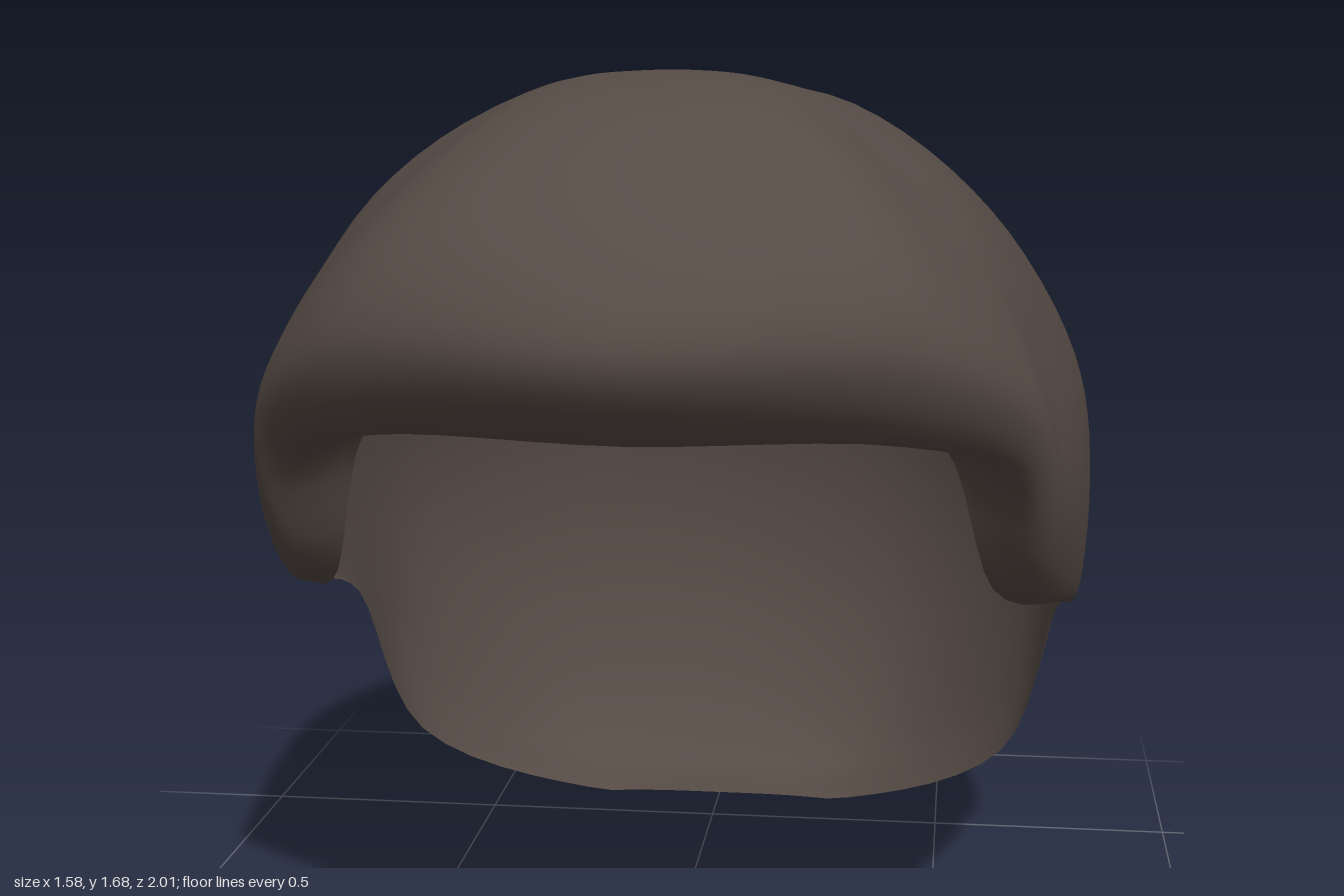
import * as THREE from 'three';

// Meridians from the centre front, round the left side, to the centre back.
// Each runs from below the crown to the lower edge as x, y, z triples.
const MERIDIANS = [
  [0, 1.675, 0.36, 0, 1.59, 0.69, 0, 1.4, 0.925, 0, 1.25, 1.0, 0, 1.11, 0.88],
  [0.16, 1.665, 0.34, 0.29, 1.57, 0.61, 0.41, 1.39, 0.81, 0.46, 1.24, 0.85, 0.44, 1.1, 0.77],
  [0.25, 1.64, 0.27, 0.46, 1.48, 0.47, 0.61, 1.27, 0.6, 0.665, 1.12, 0.63, 0.63, 1.02, 0.6],
  [0.3, 1.62, 0.16, 0.54, 1.45, 0.3, 0.68, 1.17, 0.43, 0.72, 0.95, 0.48, 0.68, 0.79, 0.44],
  [0.32, 1.61, 0.03, 0.575, 1.42, 0.06, 0.74, 1.13, 0.09, 0.78, 0.9, 0.08, 0.765, 0.68, 0.06],
  [0.31, 1.6, -0.1, 0.575, 1.39, -0.21, 0.75, 1.1, -0.27, 0.785, 0.85, -0.28, 0.745, 0.58, -0.25],
  [0.25, 1.6, -0.2, 0.48, 1.38, -0.45, 0.65, 1.0, -0.62, 0.69, 0.65, -0.65, 0.67, 0.3, -0.5],
  [0.14, 1.6, -0.28, 0.27, 1.37, -0.63, 0.39, 0.92, -0.89, 0.42, 0.45, -0.9, 0.36, 0.08, -0.76],
  [0, 1.605, -0.32, 0, 1.36, -0.7, 0, 0.88, -0.985, 0, 0.4, -0.985, 0, 0.04, -0.79],
];
// Inner end of the edge below each meridian, curled under at the fringe
const LIPS = [
  [0, 1.11, 0.68], [0.41, 1.1, 0.63], [0.51, 1.05, 0.53], [0.6, 0.77, 0.4], [0.75, 0.66, 0.05],
  [0.735, 0.56, -0.25], [0.64, 0.21, -0.4], [0.3, 0.01, -0.62], [0, 0, -0.65],
];
const CROWN = new THREE.Vector3(0.04, 1.66, 0);

function createHairGeometry(columns = 96, rows = 36) {
  const half = MERIDIANS.map((m, i) => {
    const pts = [CROWN.clone()];
    for (let k = 0; k < m.length; k += 3) pts.push(new THREE.Vector3(m[k], m[k + 1], m[k + 2]));
    pts.push(new THREE.Vector3(...LIPS[i]));
    return pts;
  });
  // Mirror the inner meridians to complete the ring
  const mirrored = half.slice(1, -1).reverse()
    .map((pts) => pts.map((p, k) => (k === 0 ? p.clone() : new THREE.Vector3(-p.x, p.y, p.z))));
  const curves = [...half, ...mirrored]
    .map((pts) => new THREE.CatmullRomCurve3(pts, false, 'centripetal'));

  // Loft smooth closed rings through the meridians
  const positions = [CROWN.x, CROWN.y, CROWN.z];
  for (let j = 1; j <= rows; j++) {
    const ring = new THREE.CatmullRomCurve3(
      curves.map((c) => c.getPoint(j / rows)), true, 'centripetal');
    for (let i = 0; i < columns; i++) {
      const p = ring.getPoint(i / columns);
      positions.push(p.x, Math.max(0, p.y), p.z);
    }
  }
  const at = (i, j) => 1 + (j - 1) * columns + (i % columns);
  const index = [];
  for (let i = 0; i < columns; i++) {
    index.push(0, at(i, 1), at(i + 1, 1));
    for (let j = 1; j < rows; j++) {
      index.push(at(i, j), at(i, j + 1), at(i + 1, j));
      index.push(at(i + 1, j), at(i, j + 1), at(i + 1, j + 1));
    }
  }
  const geometry = new THREE.BufferGeometry();
  geometry.setAttribute('position', new THREE.Float32BufferAttribute(positions, 3));
  geometry.setIndex(index);
  geometry.computeVertexNormals();
  return geometry;
}

export function createModel() {
  const group = new THREE.Group();
  group.name = 'hairpiece';
  const brown = new THREE.MeshStandardMaterial({ color: 0x564b45, side: THREE.DoubleSide });
  brown.name = 'dark brown hair';

  // Open cap of hair with a curled-under fringe
  const hair = new THREE.Mesh(createHairGeometry(), brown);
  hair.name = 'hairCap';
  group.add(hair);
  return group;
}
